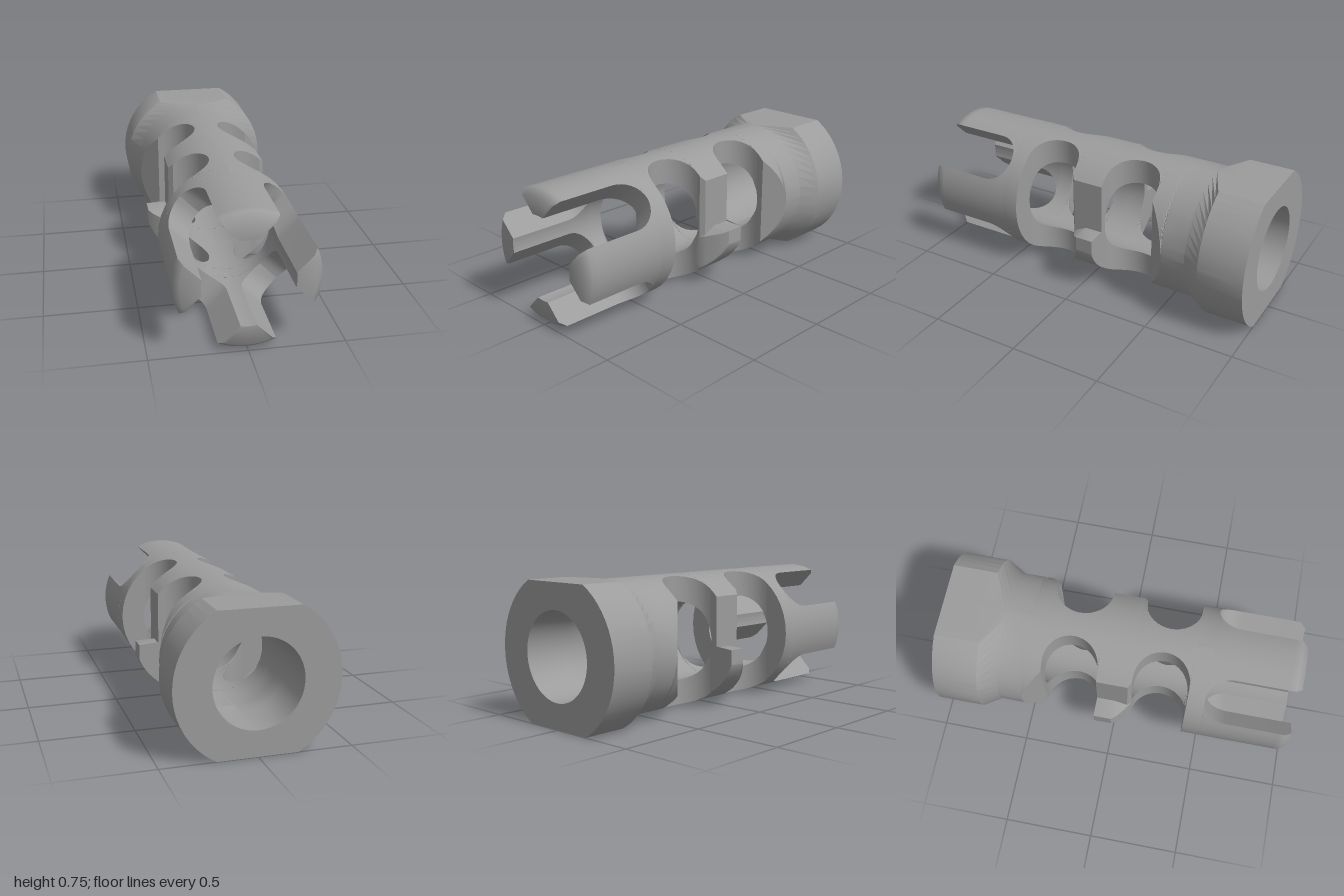
import * as THREE from 'three';
import { toCreasedNormals } from 'three/addons/utils/BufferGeometryUtils.js';

const R = 0.37, BORE = 0.235, AXIS = 0.374;
const lerp = THREE.MathUtils.lerp;
const clamp = THREE.MathUtils.clamp;
const range = (n, f) => Array.from({ length: n + 1 }, (_, i) => f(i / n));
const polar = (r, a) => [r * Math.cos(a), r * Math.sin(a)];

// Loft of cross-sections { z, outer, inner }, both lists running anticlockwise
function loft(sections, { capStart = false, capEnd = false, crease = 0.55 } = {}) {
  const pos = [];
  const quad = (a, b, c, d) => pos.push(...a, ...b, ...c, ...a, ...c, ...d);
  const loops = sections.map(s =>
    [...s.outer, ...[...s.inner].reverse()].map(p => [p[0], p[1], s.z]));
  for (let k = 0; k + 1 < loops.length; k++) {
    const A = loops[k], B = loops[k + 1];
    for (let i = 0; i < A.length; i++) {
      const j = (i + 1) % A.length;
      // leave out the hidden seam between two mirrored halves
      if (Math.abs(A[i][0]) < 1e-6 && Math.abs(A[j][0]) < 1e-6) continue;
      quad(A[i], A[j], B[j], B[i]);
    }
  }
  const cap = (L, front) => {
    const n = L.length;
    for (let i = 0; i + 1 < n / 2; i++) {
      const q = [L[i], L[i + 1], L[n - 2 - i], L[n - 1 - i]];
      quad(...(front ? q : q.reverse()));
    }
  };
  if (capStart) cap(loops[0], false);
  if (capEnd) cap(loops[loops.length - 1], true);
  const geo = new THREE.BufferGeometry();
  geo.setAttribute('position', new THREE.Float32BufferAttribute(pos, 3));
  return toCreasedNormals(geo, crease);
}

// Piece of the tube around direction dir, with half-angles ao (outside) and ai (bore)
function sector(z, dir, r, ao, ai) {
  return {
    z,
    outer: range(12, t => polar(r, dir + lerp(-ao, ao, t))),
    inner: range(12, t => polar(BORE, dir + lerp(-ai, ai, t))),
  };
}

// Half of the tube on side s; sides trimmed at x = low / high, below / above y = step
function half(z, s, { r = R, low = 1, high = 1, step = 0, bulge = 0 } = {}) {
  const mid = Math.asin(step / r), q = Math.PI / 2;
  const flat = Math.asin(Math.min(1, AXIS / r));
  const trim = (limit, rad) => Math.acos(Math.min(1, limit / rad));
  // angles fall exactly on the corners of the flats
  const spread = (a, b, c, d) => [
    ...range(4, t => lerp(a, b, t)),
    ...range(10, t => lerp(b, c, t)).slice(1),
    ...range(8, t => lerp(c, d, t)).slice(1),
  ];
  const lower = spread(-q, -flat, Math.min(mid, -trim(low, r + bulge)), mid);
  const upper = spread(q, flat, Math.max(mid, trim(high, r)), mid).reverse();
  const point = (a, limit, extra) => {
    const [x, y] = polar(r + extra, a);
    return [s * Math.min(x, limit), clamp(y, -AXIS, AXIS)];
  };
  const outer = [
    ...lower.map(a => point(a, low, bulge * clamp((a + 0.85) / 0.5, 0, 1))),
    ...upper.map(a => point(a, high, 0)),
  ];
  const inner = [...lower, ...upper].map(a => {
    const [x, y] = polar(BORE, a);
    return [s * x, y];
  });
  return s > 0 ? { z, outer, inner } : { z, outer: outer.reverse(), inner: inner.reverse() };
}

export function createModel() {
  const group = new THREE.Group();
  const material = new THREE.MeshStandardMaterial({ color: 0x9c9c9c });
  const add = (name, geo) => {
    const mesh = new THREE.Mesh(geo, material);
    mesh.name = name;
    mesh.position.y = AXIS;
    group.add(mesh);
  };

  // Four prongs divided by diagonal round-ended slots, with a softly chamfered tip
  const slot = 0.135, slotEnd = 0.5;
  const prongZ = [
    ...range(8, t => slotEnd + slot * (1 - Math.cos(t * Math.PI / 2))), 0.93, 0.965, 1];
  for (let k = 0; k < 4; k++) {
    add('prong', loft(prongZ.map(z => {
      const d = Math.max(0, slotEnd + slot - z);
      const w = Math.sqrt(Math.max(0, slot * slot - d * d));
      const r = z > 0.97 ? 0.338 : R;
      return sector(z, k * Math.PI / 2, r,
        Math.PI / 4 - Math.asin(w / r), Math.PI / 4 - Math.asin(w / BORE));
    }), { capEnd: true, crease: 0.9 }));
  }

  // Narrow bridges above and below the two pairs of side ports
  const port = 0.155;
  for (const centre of [0.25, -0.255]) {
    for (const dir of [1, -1]) {
      add('portBridge', loft(range(18, t => {
        const a = t * Math.PI;
        const x = 0.225 - port * Math.sin(a);
        return sector(centre - port * Math.cos(a), dir * Math.PI / 2, R,
          Math.asin(x / R), Math.asin(x / BORE));
      })));
    }
  }

  for (const s of [1, -1]) {
    // Ring joining the prongs
    add('frontRing', loft([half(0.405, s), half(slotEnd, s)], { capStart: true }));

    // Middle ring: flat-sided upper strap and a stepped tab on the lower half
    add('middleRing', loft([-0.1, 0, 0.025, 0.05, 0.075, 0.095].map(z => {
      const t = Math.max(0, z) / 0.095;
      const low = lerp(0.38, 0.245, t ** 1.3);
      return half(z, s, { low, high: Math.min(0.27, low), step: -0.03 - 0.045 * t, bulge: 0.028 });
    }), { capStart: true, capEnd: true }));

    // Rear body: flared collar with flats above and below, slanted flats at the ports
    const body = [[-1, 0.43], [-0.75, 0.43], [-0.65, R], [-0.515, R]]
      .map(([z, r]) => half(z, s, { r }));
    const slant = range(10, t => {
      const x = lerp(R, 0.27, t);
      return half(lerp(-0.515, -0.41, t), s, { low: x, high: x });
    });
    add('rearCollar', loft([...body, ...slant.slice(1)], { capStart: true, capEnd: true }));
  }
  return group;
}
